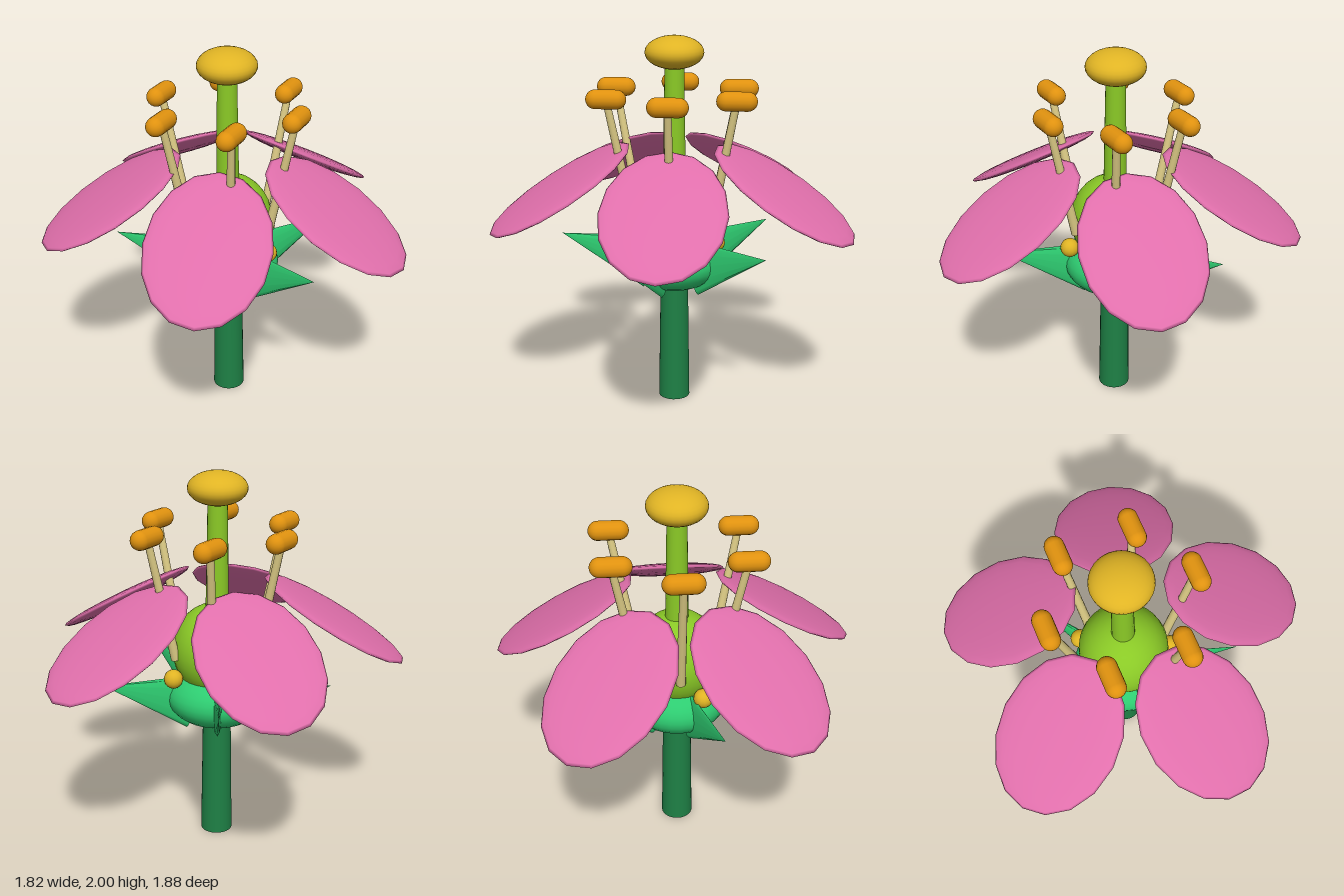
import * as THREE from 'three';

const material = (name, color) => {
  const m = new THREE.MeshStandardMaterial({ color });
  m.name = name;
  return m;
};

export function createModel() {
  const stemGreen = material('stem green', 0x1e8045);
  const sepalGreen = material('sepal green', 0x2ecc71);
  const lime = material('lime', 0x8ac926);
  const gold = material('gold', 0xe0b424);
  const amber = material('amber', 0xe0920f);
  const cream = material('cream', 0xdccb85);
  const pink = material('pink', 0xe06fab);

  const flower = new THREE.Group();
  flower.name = 'flower';
  flower.position.x = -0.07;

  const add = (parent, name, geometry, mat, x = 0, y = 0, z = 0) => {
    const mesh = new THREE.Mesh(geometry, mat);
    mesh.name = name;
    mesh.position.set(x, y, z);
    parent.add(mesh);
    return mesh;
  };
  const ellipsoid = (rx, ry, rz, seg = 32) =>
    new THREE.SphereGeometry(1, seg, Math.max(12, seg / 2)).scale(rx, ry, rz);
  // Spoke group whose local +x points outward at the given angle in the xz plane
  const spoke = (name, degrees) => {
    const g = new THREE.Group();
    g.name = name;
    g.rotation.y = -THREE.MathUtils.degToRad(degrees);
    flower.add(g);
    return g;
  };

  // Central axis, bottom to top
  add(flower, 'stem', new THREE.CylinderGeometry(0.074, 0.085, 0.72, 24), stemGreen, 0, 0.36);
  add(flower, 'receptacle', ellipsoid(0.27, 0.165, 0.27), sepalGreen, 0, 0.807);
  add(flower, 'ovary', ellipsoid(0.235, 0.25, 0.235), lime, 0, 1.06);
  add(flower, 'style', new THREE.CylinderGeometry(0.05, 0.062, 0.7, 20), lime, 0, 1.53);
  add(flower, 'stigma', ellipsoid(0.153, 0.086, 0.153), gold, 0, 1.914);

  // Upright fin-like sepals
  const sepalTilt = THREE.MathUtils.degToRad(17);
  const sepalGeo = new THREE.ConeGeometry(0.155, 0.51, 12).scale(1, 1, 0.17);
  // Drooping petals
  const petalGeo = ellipsoid(0.43, 0.033, 0.315, 16);
  const nectaryGeo = new THREE.SphereGeometry(0.05, 16, 12);
  for (let i = 0; i < 5; i++) {
    const sepal = add(spoke('sepalSpoke', 18 + i * 72), 'sepal', sepalGeo, sepalGreen, 0.366, 0.855);
    sepal.rotation.z = sepalTilt - Math.PI / 2;

    const petal = add(spoke('petalSpoke', i * 72), 'petal', petalGeo, pink, 0.61, 1.228);
    petal.rotation.z = -THREE.MathUtils.degToRad(31);

    add(spoke('nectarySpoke', 9 + i * 72), 'nectary', nectaryGeo, gold, 0.255, 0.938);
  }

  // Stamens: leaning filaments, anthers all lying along z
  const foot = new THREE.Vector2(0.235, 1.04);
  const tip = new THREE.Vector2(0.38, 1.7);
  const lean = tip.clone().sub(foot);
  const filamentGeo = new THREE.CylinderGeometry(0.019, 0.025, lean.length(), 12);
  const antherGeo = new THREE.CapsuleGeometry(0.05, 0.107, 8, 16).rotateX(Math.PI / 2);
  for (let i = 0; i < 6; i++) {
    const filament = add(spoke('stamenSpoke', i * 60), 'filament', filamentGeo, cream,
      (foot.x + tip.x) / 2, (foot.y + tip.y) / 2);
    filament.rotation.z = -Math.atan2(lean.x, lean.y);
    const a = i * Math.PI / 3;
    add(flower, 'anther', antherGeo, amber, tip.x * Math.cos(a), tip.y, tip.x * Math.sin(a));
  }

  const model = new THREE.Group();
  model.name = 'flowerModel';
  model.add(flower);
  return model;
}
